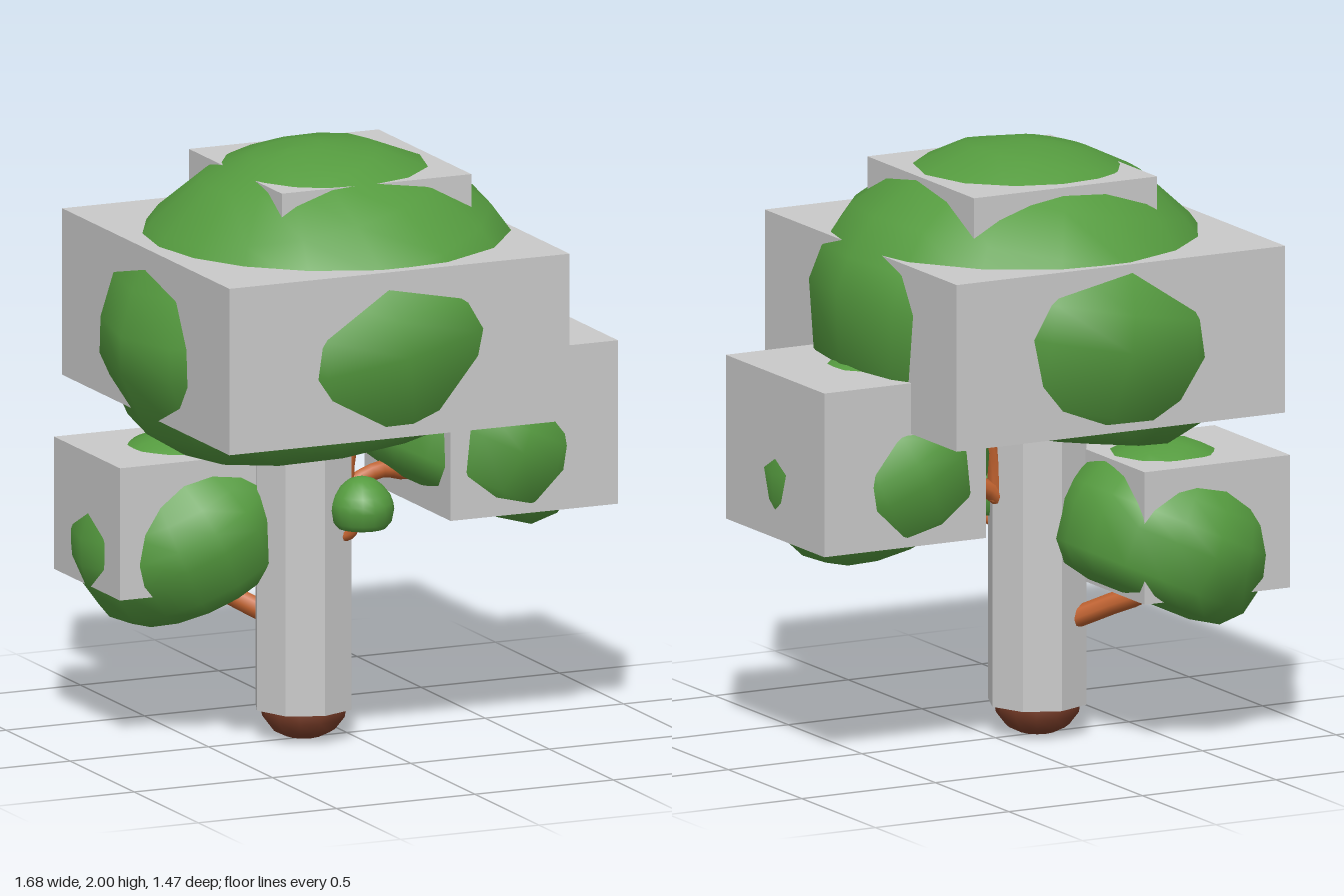
import * as THREE from 'three';

const mat = (name, color, side = THREE.FrontSide) => {
  const m = new THREE.MeshStandardMaterial({ color, side });
  m.name = name;
  return m;
};

export function createModel() {
  const leaf = mat('leaf green', 0x559b3f);
  const grey = mat('block grey', 0xcacaca);
  const bark = mat('dark bark', 0x7d3f2a);
  const twig = mat('orange twig', 0xc0622f);
  const model = new THREE.Group();

  const add = (name, geometry, material) => {
    const mesh = new THREE.Mesh(geometry, material);
    mesh.name = name;
    model.add(mesh);
    return mesh;
  };
  const lathe = (points, sides) =>
    new THREE.LatheGeometry(points.map(([x, y]) => new THREE.Vector2(x, y)), sides);

  // Leaf clumps: one domed, flat-bottomed form, tilted and scaled
  const clumpShape = lathe([
    [0, -0.36], [0.36, -0.36], [0.56, -0.325], [0.68, -0.22], [0.735, 0], [0.71, 0.12],
    [0.64, 0.26], [0.49, 0.4], [0.3, 0.515], [0.12, 0.56], [0, 0.565],
  ], 16);
  const clump = (name, pos, scale, tilt) => {
    const mesh = add(name, clumpShape, leaf);
    mesh.position.set(...pos);
    mesh.scale.set(...scale);
    mesh.rotation.z = THREE.MathUtils.degToRad(tilt);
  };
  clump('crown', [-0.11, 1.42, 0], [0.98, 1.02, 1], 11);
  clump('rightClump', [0.46, 0.975, 0], [0.53, 0.645, 0.53], -26);
  clump('leftClump', [-0.485, 0.67, -0.26], [0.5, 0.6, 0.5], 25);
  clump('smallClump', [-0.022, 0.79, 0.165], [0.145, 0.19, 0.145], 0);

  // Grey blocks enclosing the clumps, given as [min, max]
  const block = (name, [x0, y0, z0], [x1, y1, z1]) => {
    const mesh = add(name, new THREE.BoxGeometry(x1 - x0, y1 - y0, z1 - z0), grey);
    mesh.position.set((x0 + x1) / 2, (y0 + y1) / 2, (z0 + z1) / 2);
  };
  block('crownBlock', [-0.73, 1.14, -0.645], [0.5, 1.7, 0.66]);
  block('topBlock', [-0.39, 1.7, -0.39], [0.295, 1.92, 0.335]);
  block('rightBlock', [0.22, 0.76, -0.335], [0.825, 1.31, 0.335]);
  block('leftBlock', [-0.815, 0.52, -0.525], [-0.27, 0.965, -0.01]);

  // Octagonal trunk sleeve
  const sleeve = new THREE.CylinderGeometry(0.168, 0.168, 0.965, 8).toNonIndexed();
  sleeve.computeVertexNormals();
  add('trunkSleeve', sleeve, grey).position.set(-0.157, 0.5875, 0);

  // Inner trunk with a rounded foot
  add('trunk', lathe([
    [0, 0], [0.06, 0.008], [0.105, 0.03], [0.136, 0.07], [0.143, 0.11], [0.12, 0.6], [0.1, 1.04],
  ], 12), bark).position.x = -0.157;

  // Branches
  const branch = (name, radius, points) => {
    const curve = new THREE.CatmullRomCurve3(points.map((p) => new THREE.Vector3(...p)));
    add(name, new THREE.TubeGeometry(curve, 12, radius, 8), twig);
  };
  branch('leftBranch', 0.036, [[-0.2, 0.38, -0.08], [-0.32, 0.45, -0.19], [-0.41, 0.51, -0.28], [-0.48, 0.62, -0.3]]);
  branch('rightBranch', 0.03, [[-0.06, 0.76, 0], [0.03, 0.84, 0], [0.13, 0.875, 0], [0.23, 0.86, 0], [0.34, 0.9, 0]]);
  branch('upperBranch', 0.025, [[0, 0.8, 0], [0.005, 0.92, 0], [0.03, 1.01, 0], [0.065, 1.08, 0], [0.065, 1.2, 0]]);
  branch('smallStem', 0.018, [[-0.1, 0.68, 0.08], [-0.05, 0.705, 0.14], [-0.03, 0.8, 0.165]]);

  return model;
}
